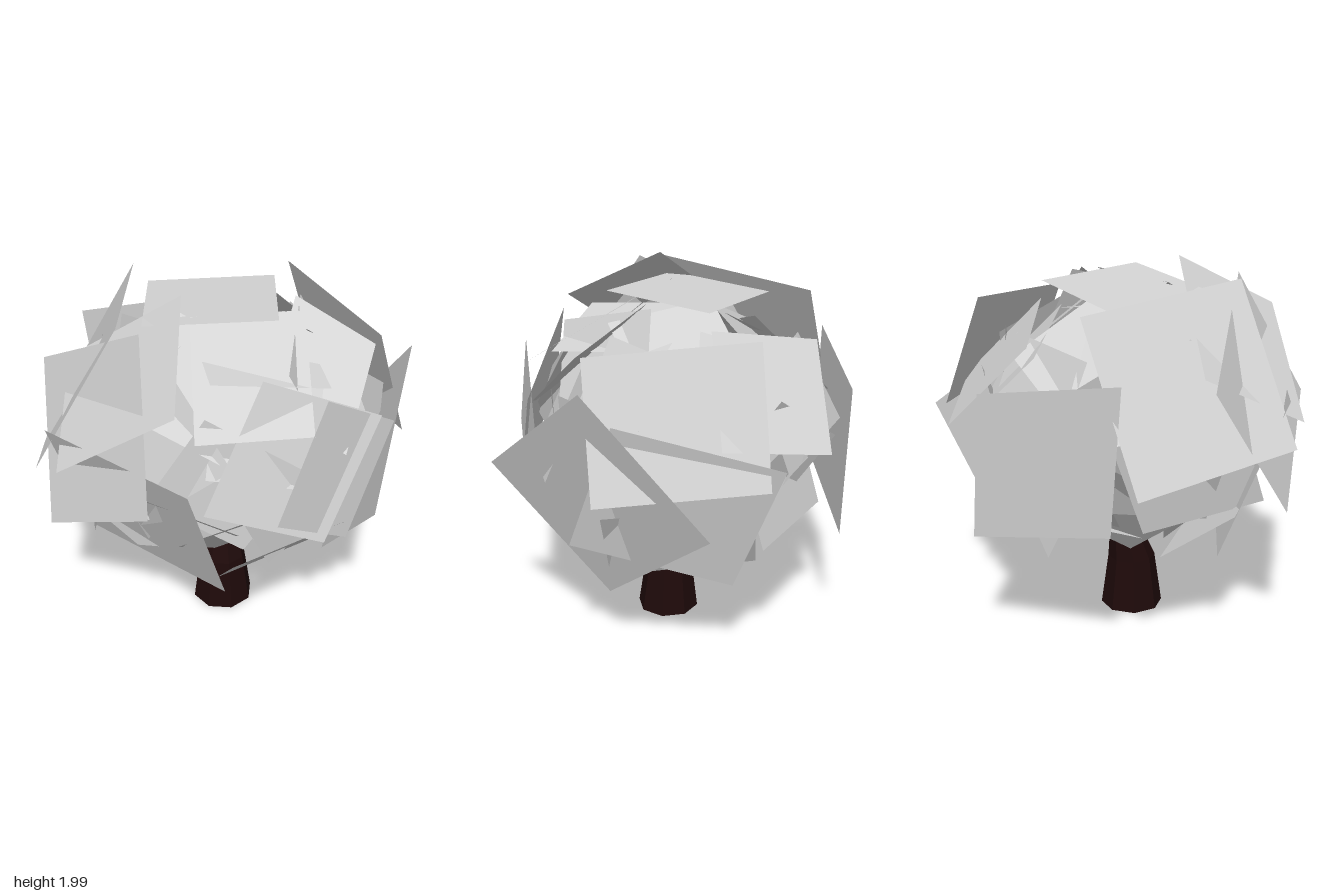
import * as THREE from 'three';

// Low-poly limb lofted through rings of [x, y, z, radius]
function limb(rings, sides, material, name) {
  const pos = [], idx = [];
  rings.forEach(([x, y, z, r]) => {
    for (let i = 0; i < sides; i++) {
      const a = (i + 0.5) / sides * Math.PI * 2;
      pos.push(x + Math.sin(a) * r, y, z + Math.cos(a) * r);
    }
  });
  for (let k = 0; k < rings.length - 1; k++) {
    for (let i = 0; i < sides; i++) {
      const j = (i + 1) % sides, a = k * sides, b = a + sides;
      idx.push(a + i, a + j, b + j, a + i, b + j, b + i);
    }
  }
  // End caps
  const top = (rings.length - 1) * sides;
  for (let i = 1; i < sides - 1; i++) idx.push(0, i + 1, i, top, top + i, top + i + 1);
  const g = new THREE.BufferGeometry();
  g.setAttribute('position', new THREE.Float32BufferAttribute(pos, 3));
  g.setIndex(idx);
  const flat = g.toNonIndexed();
  flat.computeVertexNormals();
  const mesh = new THREE.Mesh(flat, material);
  mesh.name = name;
  return mesh;
}

export function createModel() {
  const tree = new THREE.Group();
  tree.name = 'tree';
  const bark = new THREE.MeshStandardMaterial({ color: 0x1e0a0a });
  bark.name = 'dark bark';
  const leaf = new THREE.MeshStandardMaterial({ color: 0xd4d4d4, side: THREE.DoubleSide });
  leaf.name = 'pale grey leaf';

  // Trunk and the branches hidden in the crown
  tree.add(limb([[0.03, 0, 0.04, 0.17], [0.025, 0.29, 0.04, 0.13],
    [0, 0.43, 0.02, 0.095], [0, 0.75, 0, 0.075], [0, 1.1, 0, 0.05]], 8, bark, 'trunk'));
  tree.add(limb([[0, 0.7, 0, 0.06], [-0.03, 1.05, -0.3, 0.045], [-0.05, 1.35, -0.63, 0.02]], 6, bark, 'backBranch'));
  tree.add(limb([[0, 0.7, 0, 0.06], [0.2, 1.05, 0.15, 0.04], [0.35, 1.35, 0.25, 0.02]], 6, bark, 'frontBranch'));

  const crown = new THREE.Group();
  crown.name = 'crown';
  tree.add(crown);
  const heart = new THREE.Vector3(0, 1.15, 0);

  // Flat leaf card from three successive corners, wound to face outward
  function card(name, a, b, c) {
    const A = new THREE.Vector3(...a), B = new THREE.Vector3(...b), C = new THREE.Vector3(...c);
    const D = A.clone().add(C).sub(B);
    const n = B.clone().sub(A).cross(C.clone().sub(A));
    const out = A.clone().add(C).multiplyScalar(0.5).sub(heart);
    const p = n.dot(out) > 0 ? [A, B, C, D] : [A, D, C, B];
    const g = new THREE.BufferGeometry().setFromPoints([p[0], p[1], p[2], p[0], p[2], p[3]]);
    g.computeVertexNormals();
    const mesh = new THREE.Mesh(g, leaf);
    mesh.name = name;
    crown.add(mesh);
  }

  // Large outer cards
  card('leafFrontUpperRight', [-0.74, 1.81, 0.02], [-1.0, 1.03, 0.38], [-0.31, 1.12, 0.99]);
  card('leafFront', [0.08, 1.91, 0.59], [0.49, 1.2, 0.88], [-0.28, 0.77, 0.95]);
  card('leafFrontPeak', [0.02, 1.99, 0.29], [0.48, 1.68, 0.7], [-0.11, 1.2, 0.99]);
  card('leafFrontLower', [0.6, 1.32, 0.73], [0.49, 0.5, 0.41], [-0.38, 0.53, 0.62]);
  card('leafFrontUnder', [-0.5, 0.54, 0.35], [0.1, 0.5, 0.33], [0.14, 0.75, 0.7]);
  card('leafFrontLowerRight', [-0.83, 1.22, 0.2], [-0.64, 0.72, 0.3], [-0.1, 0.75, 0.8]);
  card('leafTop', [-0.09, 1.84, -0.42], [-0.53, 1.8, 0.08], [-0.08, 1.84, 0.46]);
  card('leafTopLeft', [0.32, 1.85, -0.25], [0.78, 1.48, 0.1], [0.47, 1.48, 0.58]);
  card('leafLeft', [0.77, 1.64, 0.015], [0.78, 1.34, -0.46], [0.81, 0.78, -0.13]);
  card('leafLeftFront', [0.55, 1.73, 0.23], [0.58, 1.15, 0.62], [0.83, 0.85, 0.05]);
  card('leafLeftLower', [0.7, 0.87, 0.54], [0.82, 0.9, -0.1], [0.45, 0.48, -0.3]);
  card('leafBackLeft', [0.99, 1.03, -0.13], [0.42, 0.34, -0.37], [0.03, 0.9, -1.0]);
  card('leafRight', [-0.9, 1.54, 0.27], [-0.85, 0.77, 0.2], [-0.77, 0.65, -0.55]);
  card('leafBackRightUpper', [-0.64, 1.18, -0.73], [-0.69, 1.63, -0.27], [-0.1, 1.75, -0.42]);
  card('leafBackRightLower', [-0.6, 1.35, -0.1], [-0.15, 1.35, -0.6], [-0.3, 0.7, -0.75]);
  card('leafBackUpper', [-0.28, 1.77, -0.7], [0.56, 1.7, -0.56], [0.56, 1.03, -0.8]);
  card('leafBack', [0.45, 1.41, -0.74], [-0.35, 1.2, -0.94], [-0.16, 0.49, -0.7]);
  card('leafBackLower', [-0.39, 0.4, -0.3], [0.42, 0.45, -0.4], [0.5, 0.9, -0.65]);
  card('leafBackLeftUpper', [0.2, 1.87, -0.3], [0.58, 1.68, -0.5], [0.8, 1.3, -0.1]);

  // Inner cards spread evenly round the crown, each slightly tilted
  let seed = 11;
  const rnd = () => (seed = seed * 16807 % 2147483647) / 2147483647;
  const count = 34;
  for (let i = 0; i < count; i++) {
    const v = 0.95 - 1.85 * (i + 0.5) / count, a = i * 2.39996, h = Math.sqrt(1 - v * v);
    const dir = new THREE.Vector3(Math.cos(a) * h, v, Math.sin(a) * h);
    const mid = dir.clone().multiply(new THREE.Vector3(0.65, 0.57, 0.65)).add(heart);
    const n = dir.clone().add(new THREE.Vector3(rnd() - 0.5, rnd() - 0.5, rnd() - 0.5).multiplyScalar(0.5)).normalize();
    const q = new THREE.Quaternion().setFromUnitVectors(new THREE.Vector3(0, 0, 1), n);
    const roll = rnd() * Math.PI, s = 0.36 + rnd() * 0.08;
    const corner = k => new THREE.Vector3(Math.cos(roll + k * Math.PI / 2), Math.sin(roll + k * Math.PI / 2), 0)
      .multiplyScalar(s).applyQuaternion(q).add(mid).toArray();
    card('leafInner' + (i + 1), corner(0), corner(1), corner(2));
  }
  return tree;
}
